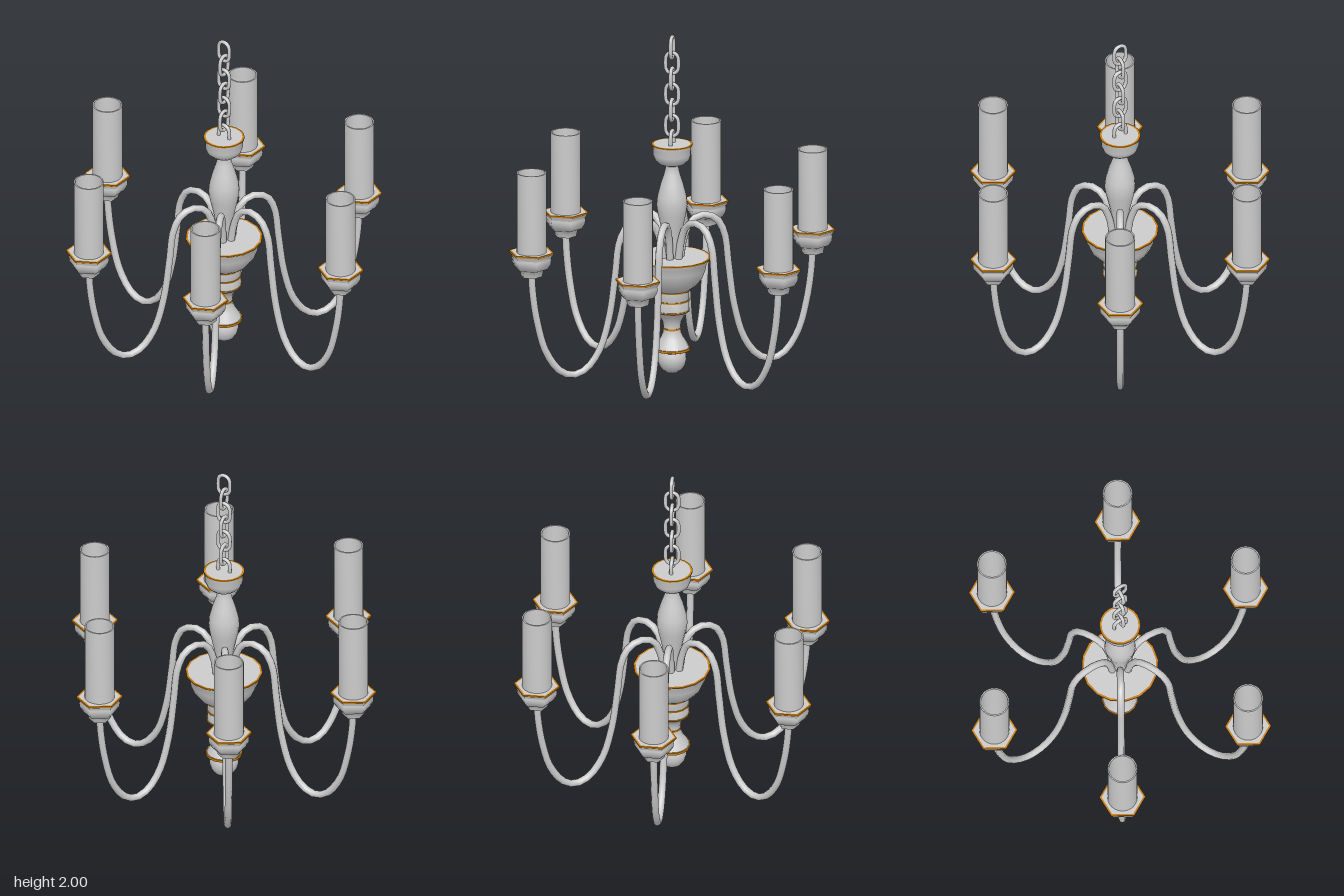
import * as THREE from 'three';
import { toCreasedNormals, mergeGeometries } from 'three/addons/utils/BufferGeometryUtils.js';

const grey = new THREE.MeshStandardMaterial({ color: 0xcccccc });
const gold = new THREE.MeshStandardMaterial({ color: 0xc87f14 });

const named = (name, geometry, material = grey) => {
  const mesh = new THREE.Mesh(geometry, material);
  mesh.name = name;
  return mesh;
};

// Turned solid from [radius, y] pairs, bottom to top; sharp edges stay sharp
function turned(name, profile, sides, material = grey, crease = 0.7, start = 0) {
  const pts = profile.map(([r, y]) => new THREE.Vector2(r, y));
  return named(name, toCreasedNormals(new THREE.LatheGeometry(pts, sides, start), crease), material);
}

// Thin raised trim band around a turned part
const band = (name, r, y, h, sides, start = 0) => turned(name, [
  [r - 0.012, y - h / 2], [r, y - h / 2], [r, y + h / 2], [r - 0.012, y + h / 2],
], sides, gold, 1.1, start);

// Stadium-shaped chain link in the yz plane
function linkGeometry() {
  const pts = [];
  for (let i = 0; i < 16; i++) {
    const a = (i / 16) * Math.PI * 2;
    const s = Math.sin(a);
    pts.push(new THREE.Vector3(0, 0.04 * s + 0.022 * Math.tanh(4 * s), 0.038 * Math.cos(a)));
  }
  return new THREE.TubeGeometry(new THREE.CatmullRomCurve3(pts, true), 28, 0.011, 8, true);
}

// One arm along +z with its cup and candle sleeve
function createArm() {
  const arm = new THREE.Group();
  arm.name = 'arm';
  const path = [
    [0.05, 0.67], [0.072, 0.8], [0.115, 0.893], [0.19, 0.922], [0.265, 0.89], [0.312, 0.8],
    [0.335, 0.62], [0.37, 0.37], [0.43, 0.17], [0.51, 0.065], [0.585, 0.037], [0.66, 0.065],
    [0.745, 0.185], [0.8, 0.38], [0.825, 0.55], [0.832, 0.66],
  ].map(([r, y]) => new THREE.Vector3(0, y, r));
  arm.add(named('armTube', new THREE.TubeGeometry(new THREE.CatmullRomCurve3(path), 40, 0.021, 8)));

  const holder = new THREE.Group();
  holder.name = 'candleHolder';
  holder.position.z = 0.832;
  const turn = Math.PI / 6;
  holder.add(turned('cup', [
    [0, 0.643], [0.062, 0.643], [0.07, 0.68], [0.095, 0.69], [0.113, 0.72], [0.116, 0.745],
    [0.113, 0.755], [0.128, 0.78], [0.128, 0.786], [0, 0.786],
  ], 6, grey, 1.1, turn));
  holder.add(band('cupRim', 0.131, 0.783, 0.01, 6, turn));
  holder.add(turned('candleSleeve', [
    [0.085, 0.78], [0.085, 1.256], [0.077, 1.256], [0.077, 0.79], [0, 0.79],
  ], 24));
  arm.add(holder);
  return arm;
}

export function createModel() {
  const model = new THREE.Group();
  model.name = 'chandelier';

  // Lower body: finial ball, baluster, collar and bowl
  model.add(turned('finial', [
    [0, 0], [0.031, 0.006], [0.058, 0.025], [0.076, 0.053], [0.083, 0.085], [0.08, 0.112], [0.07, 0.14],
  ], 20));
  model.add(turned('baluster', [
    [0, 0.135], [0.09, 0.135], [0.1, 0.15], [0.088, 0.175], [0.066, 0.21], [0.053, 0.24], [0.048, 0.275],
    [0.054, 0.31], [0.07, 0.34], [0.098, 0.372], [0.098, 0.43], [0.095, 0.437], [0.098, 0.444],
    [0.098, 0.5],
  ], 16));
  model.add(turned('bowl', [
    [0, 0.495], [0.1, 0.495], [0.14, 0.525], [0.175, 0.57], [0.195, 0.62], [0.202, 0.66],
    [0.216, 0.68], [0.216, 0.687], [0, 0.687],
  ], 16));

  // Trim bands
  for (const [r, y, h] of [
    [0.22, 0.685, 0.008], [0.103, 0.495, 0.011], [0.101, 0.435, 0.008],
    [0.102, 0.374, 0.008], [0.052, 0.265, 0.01], [0.105, 0.147, 0.014],
  ]) model.add(band('trimBand', r, y, h, 16));

  // Upper stem and canopy
  model.add(turned('stem', [
    [0.04, 0.68], [0.045, 0.76], [0.06, 0.85], [0.08, 0.94], [0.089, 1.0], [0.084, 1.05],
    [0.066, 1.12], [0.046, 1.18], [0.038, 1.215], [0.04, 1.245],
  ], 16));
  model.add(turned('canopy', [
    [0, 1.23], [0.04, 1.23], [0.075, 1.243], [0.098, 1.265], [0.108, 1.295], [0.109, 1.335],
    [0.115, 1.35], [0.115, 1.356], [0, 1.356],
  ], 20));
  model.add(band('canopyRim', 0.117, 1.354, 0.007, 20));

  // Chain: alternate links turned a quarter
  const links = [];
  for (let i = 0; i < 7; i++) {
    links.push(linkGeometry().rotateY((i % 2) * Math.PI / 2).translate(0, 1.927 - i * 0.0925, 0));
  }
  model.add(named('chain', mergeGeometries(links)));

  // Six arms around the body
  for (let i = 0; i < 6; i++) {
    const arm = createArm();
    arm.rotation.y = (i * Math.PI) / 3;
    model.add(arm);
  }
  return model;
}
